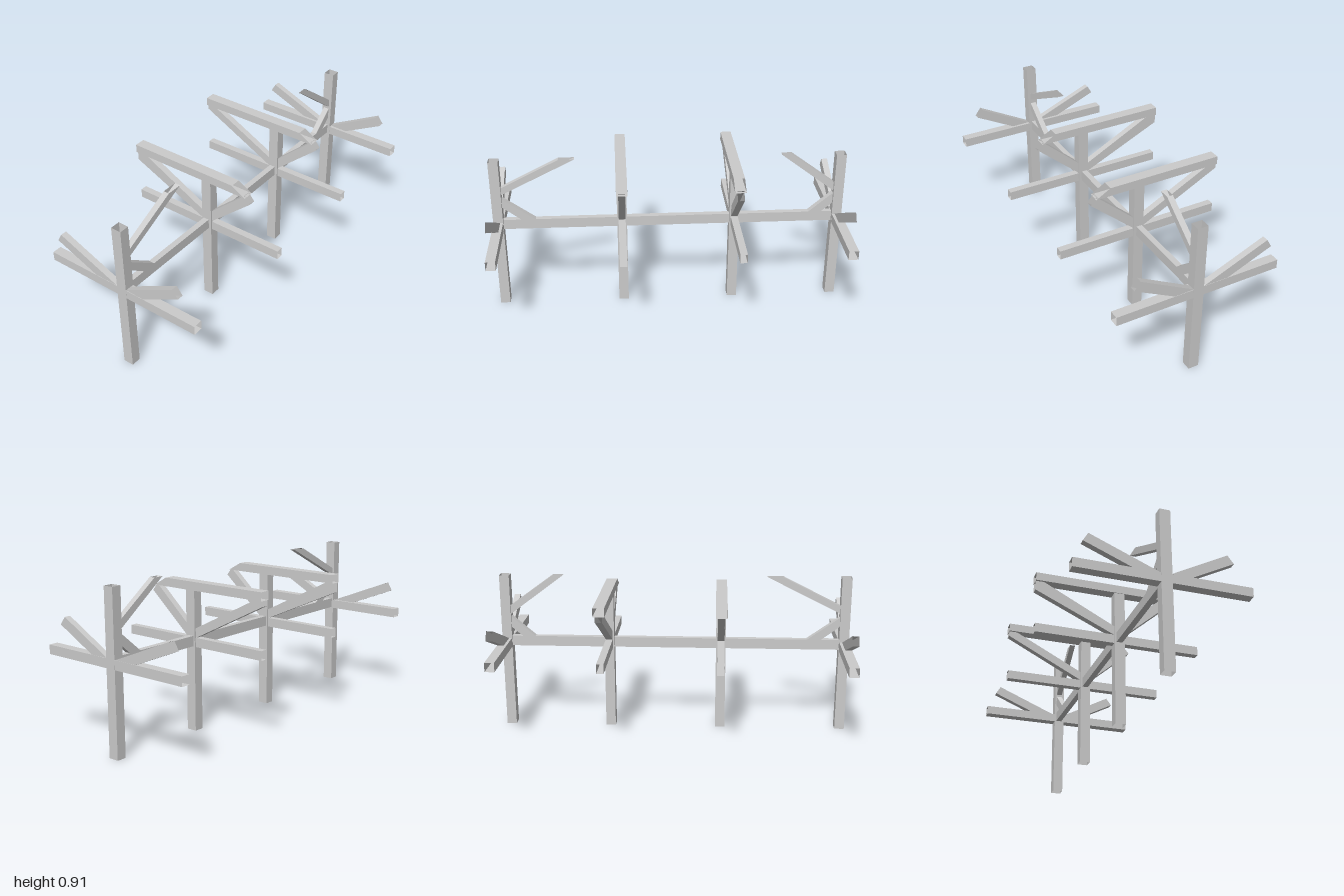
import * as THREE from 'three';

const material = new THREE.MeshStandardMaterial({
  color: 0xcccccc, flatShading: true, side: THREE.DoubleSide,
});

// Open-ended square tube: a quad outline [startA, startB, endB, endA] given
// thickness from lo to hi; the start and end cuts are left open.
function beam(name, outline, lo, hi) {
  let area = 0;
  outline.forEach(([x, y], i) => {
    const [nx, ny] = outline[(i + 1) % 4];
    area += x * ny - nx * y;
  });
  const q = area < 0 ? [...outline].reverse() : outline;
  const pos = [];
  const quad = (a, b, c, d) => pos.push(...a, ...b, ...c, ...a, ...c, ...d);
  const L = q.map(([x, y]) => [x, y, lo]);
  const H = q.map(([x, y]) => [x, y, hi]);
  quad(H[0], H[1], H[2], H[3]);
  quad(L[3], L[2], L[1], L[0]);
  quad(L[1], L[2], H[2], H[1]);
  quad(L[3], L[0], H[0], H[3]);
  const geometry = new THREE.BufferGeometry();
  geometry.setAttribute('position', new THREE.Float32BufferAttribute(pos, 3));
  geometry.computeVertexNormals();
  const mesh = new THREE.Mesh(geometry, material);
  mesh.name = name;
  return mesh;
}

// Beam whose outline is drawn as (z, y), centred on the spine line
function lengthwiseBeam(name, outline) {
  const mesh = beam(name, outline, -0.024, 0.01);
  mesh.rotation.y = -Math.PI / 2;
  return mesh;
}

const post = (h, lo, hi) =>
  beam('post', [[-0.02, 0], [0.04, 0], [0.04, h], [-0.02, h]], lo, hi);
const crossBar = (lo, hi) =>
  beam('crossBar', [[-0.475, 0.48], [-0.475, 0.532], [0.48, 0.532], [0.48, 0.48]], lo, hi);

// End frame: tall post, cross bar and two short splayed braces
function endFrame(name, side, height) {
  const g = new THREE.Group();
  g.name = name;
  const z = side * 0.97;
  const bz = side * 0.977;
  g.add(
    post(height, z - 0.028, z + 0.028),
    crossBar(z - 0.027, z + 0.027),
    beam('leftBrace', [[0.148, 0.531], [0.04, 0.534], [0.348, 0.7], [0.382, 0.655]], bz - 0.018, bz + 0.018),
    beam('rightBrace', [[-0.163, 0.531], [-0.02, 0.531], [-0.395, 0.685], [-0.423, 0.637]], bz - 0.018, bz + 0.018),
  );
  return g;
}

// Middle frame: shorter post carrying a mitred top beam on two long braces
function middleFrame(name, z, braceFoot) {
  const g = new THREE.Group();
  g.name = name;
  g.add(
    post(0.795, z - 0.028, z + 0.028),
    crossBar(z - 0.02, z + 0.02),
    beam('topBeam', [[-0.48, 0.795], [-0.48, 0.843], [0.187, 0.843], [0.271, 0.795]], z - 0.031, z + 0.031),
    beam('leftBrace', [[0.04, 0.535], [0.04, 0.603], [0.263, 0.803], [0.297, 0.76]], z - 0.019, z + 0.019),
    beam('rightBrace', [[-0.02, 0.531], [-0.02, 0.585], [-0.43, 0.795], [-0.48, braceFoot]], z - 0.019, z + 0.019),
  );
  // Closing wedge where the brace meets the beam end
  g.add(beam('rightBraceTip', [[-0.48, braceFoot], [-0.43, 0.795], [-0.48, 0.795], [-0.48, braceFoot]], z - 0.019, z + 0.019));
  return g;
}

export function createModel() {
  const model = new THREE.Group();
  model.name = 'timberFrame';
  model.add(
    endFrame('frontFrame', 1, 0.907),
    middleFrame('frontMiddleFrame', 0.268, 0.74),
    middleFrame('backMiddleFrame', -0.376, 0.765),
    endFrame('backFrame', -1, 0.902),
  );

  // Spine and the lengthwise braces at both ends
  model.add(
    lengthwiseBeam('spine', [[-0.97, 0.485], [-0.97, 0.543], [0.97, 0.543], [0.97, 0.485]]),
    lengthwiseBeam('frontUpperBrace', [[0.942, 0.7], [0.942, 0.742], [0.614, 0.907], [0.525, 0.907]]),
    lengthwiseBeam('frontLowerBrace', [[0.942, 0.622], [0.942, 0.675], [0.759, 0.543], [0.839, 0.543]]),
    lengthwiseBeam('backUpperBrace', [[-0.942, 0.675], [-0.942, 0.724], [-0.694, 0.905], [-0.635, 0.905]]),
    lengthwiseBeam('backLowerBrace', [[-0.942, 0.597], [-0.942, 0.66], [-0.807, 0.543], [-0.88, 0.543]]),
  );
  return model;
}
